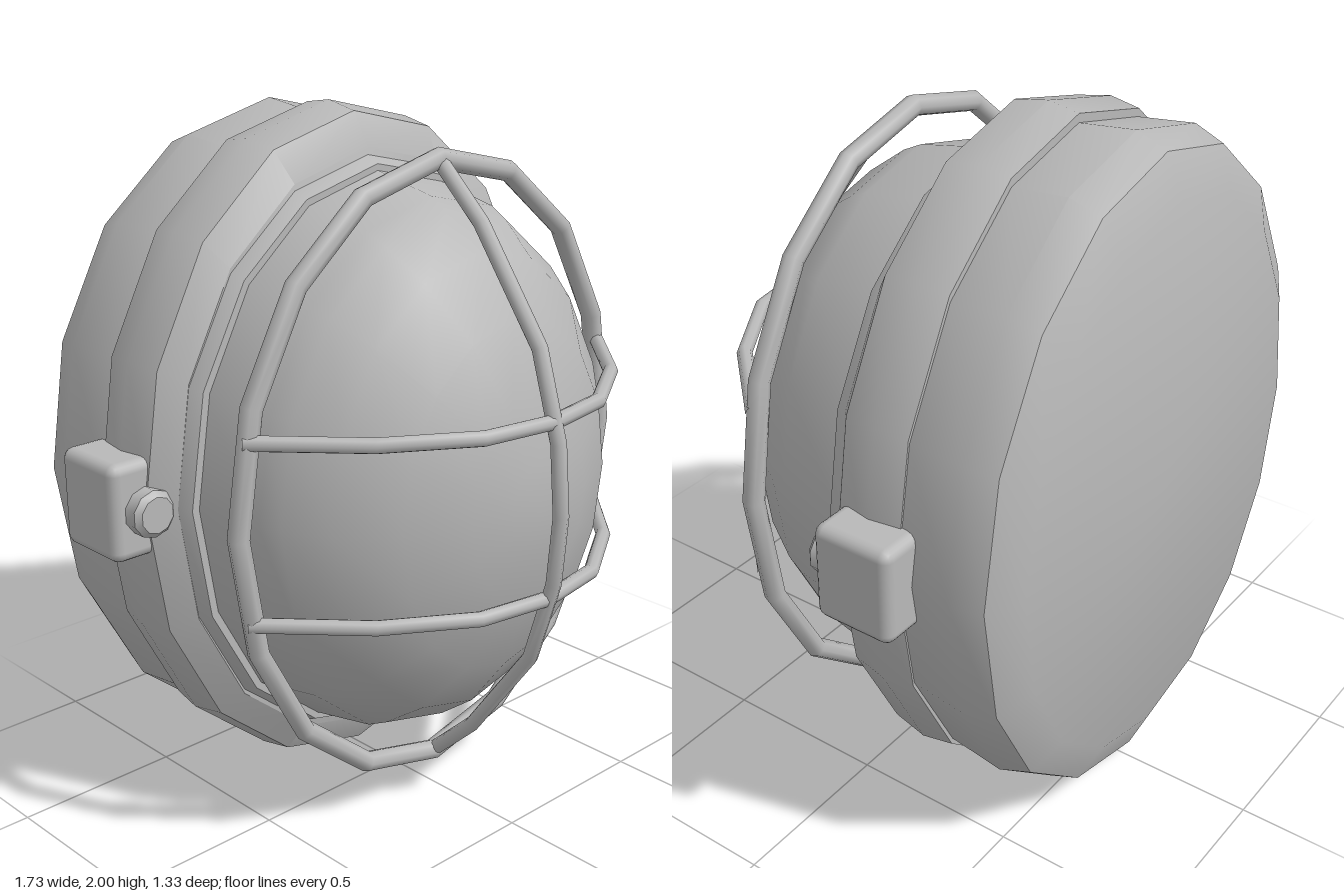
import * as THREE from 'three';
import { toCreasedNormals } from 'three/addons/utils/BufferGeometryUtils.js';
import { RoundedBoxGeometry } from 'three/addons/geometries/RoundedBoxGeometry.js';

const SIDES = 16;

// Oval body through rings [z, rx, ry] from back to front, closed at both ends
function ovalLoft(rings, backZ, frontZ, crease) {
  const pos = [], idx = [];
  for (const [z, rx, ry] of rings) {
    for (let j = 0; j < SIDES; j++) {
      const a = (j / SIDES) * Math.PI * 2;
      pos.push(rx * Math.cos(a), ry * Math.sin(a), z);
    }
  }
  const back = rings.length * SIDES, front = back + 1;
  pos.push(0, 0, backZ, 0, 0, frontZ);
  const last = (rings.length - 1) * SIDES;
  for (let j = 0; j < SIDES; j++) {
    const k = (j + 1) % SIDES;
    idx.push(back, k, j, front, last + j, last + k);
    for (let i = 0; i < rings.length - 1; i++) {
      const lo = i * SIDES, hi = lo + SIDES;
      idx.push(lo + j, lo + k, hi + k, lo + j, hi + k, hi + j);
    }
  }
  const g = new THREE.BufferGeometry();
  g.setAttribute('position', new THREE.Float32BufferAttribute(pos, 3));
  g.setIndex(idx);
  return toCreasedNormals(g, crease);
}

// Curve whose samples fall exactly on the parameter steps
class StepCurve extends THREE.Curve {
  constructor(fn) { super(); this.fn = fn; }
  getPoint(t) { return this.fn(t); }
  getUtoTmapping(u) { return u; }
}

// Bent wire through a list of points
function wire(points, radius) {
  const n = points.length - 1;
  const curve = new StepCurve((t) => {
    const i = Math.min(Math.floor(t * n), n - 1);
    return points[i].clone().lerp(points[i + 1], t * n - i);
  });
  return new THREE.TubeGeometry(curve, n, radius, 8, false);
}

// Half a bar [across, z] mirrored about its last, central point
const mirrored = (half) => [
  ...half.map(([s, z]) => [-s, z]),
  ...half.slice(0, -1).reverse(),
];

export function createModel() {
  const lamp = new THREE.Group();
  lamp.name = 'bulkheadLamp';
  const grey = new THREE.MeshStandardMaterial({ color: 0xb8b8b8 });
  grey.name = 'grey';

  const add = (name, geometry, x = 0, y = 1, z = 0) => {
    const m = new THREE.Mesh(geometry, grey);
    m.name = name;
    m.position.set(x, y, z);
    lamp.add(m);
    return m;
  };

  // Housing with bevelled back
  add('housing', ovalLoft([
    [-0.665, 0.66, 0.82], [-0.61, 0.757, 0.945], [-0.52, 0.782, 0.98], [-0.35, 0.765, 0.96],
  ], -0.665, -0.35, 0.58));

  // Front rim
  add('rim', ovalLoft([
    [-0.352, 0.77, 0.985], [-0.26, 0.785, 1.0], [-0.155, 0.765, 0.98], [-0.1, 0.7, 0.885],
  ], -0.352, -0.1, 0.58));

  // Gasket step between rim and lens
  add('gasket', ovalLoft([
    [-0.12, 0.705, 0.87], [-0.1, 0.7, 0.865], [-0.06, 0.682, 0.845],
  ], -0.12, -0.06, 0.58));

  // Lens: slightly tapered collar running into a dome
  const lensRings = [
    [-0.08, 0.83], [0.15, 0.785], [0.21, 0.755], [0.33, 0.665],
    [0.455, 0.5], [0.535, 0.28], [0.565, 0.13],
  ].map(([z, r]) => [z, r * 0.798, r]);
  add('lens', ovalLoft(lensRings, -0.08, 0.577, 1.2));

  // Guard ring
  const ring = new StepCurve((t) => new THREE.Vector3(
    0.715 * Math.cos(t * Math.PI * 2), 0.89 * Math.sin(t * Math.PI * 2), 0));
  add('guardRing', new THREE.TubeGeometry(ring, SIDES, 0.03, 8, true), 0, 1, 0.175);

  // Guard bars: one upright, two across
  const upright = mirrored([[0.885, 0.18], [0.74, 0.335], [0.445, 0.55], [0.2, 0.625], [0, 0.642]]);
  add('uprightBar', wire(upright.map(([s, z]) => new THREE.Vector3(0, s, z)), 0.022));
  const across = mirrored([[0.69, 0.175], [0.46, 0.42], [0.225, 0.57], [0, 0.607]]);
  for (const y of [0.752, 1.257]) {
    add('crossBar', wire(across.map(([s, z]) => new THREE.Vector3(s, 0, z)), 0.022), 0, y);
  }

  // Side lugs with screw heads
  const headProfile = [[0, -0.03], [0.068, -0.03], [0.068, 0.015], [0.052, 0.03], [0, 0.03]]
    .map(([r, h]) => new THREE.Vector2(r, h));
  const head = toCreasedNormals(new THREE.LatheGeometry(headProfile, 10), 0.7);
  head.rotateX(Math.PI / 2);
  for (const s of [1, -1]) {
    add('sideLug', new RoundedBoxGeometry(0.17, 0.28, 0.24, 2, 0.03), s * 0.78, 1.003, -0.28);
    add('screwHead', head, s * 0.762, 1, -0.135);
  }
  return lamp;
}
